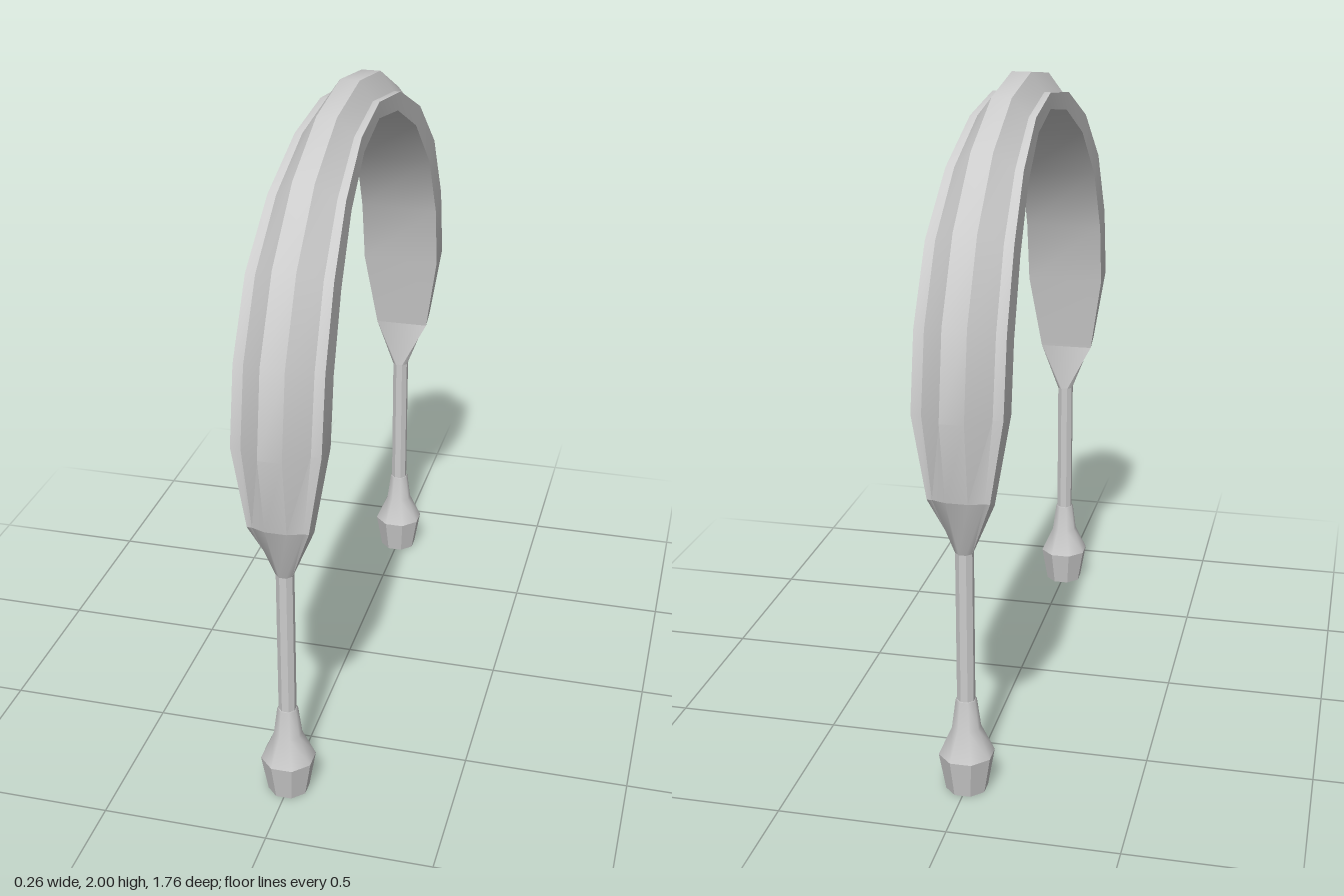
import * as THREE from 'three';
import { toCreasedNormals } from 'three/addons/utils/BufferGeometryUtils.js';

const material = new THREE.MeshStandardMaterial({ color: 0xcccccc });
const flatMaterial = new THREE.MeshStandardMaterial({ color: 0xcccccc, flatShading: true });

// Half sections from crown to band end: half widths (ridge, bevel, rim),
// then z, y of the outer ridge, the bevel line and the inner face
const SECTIONS = [
  [0.030, 0.070, 0.090, 0, 2, 0, 1.94, 0, 1.89],
  [0.030, 0.076, 0.098, 0.265, 1.962, 0.25, 1.905, 0.215, 1.855],
  [0.032, 0.087, 0.112, 0.51, 1.848, 0.48, 1.797, 0.42, 1.75],
  [0.034, 0.096, 0.125, 0.708, 1.665, 0.66, 1.63, 0.585, 1.58],
  [0.035, 0.100, 0.130, 0.834, 1.435, 0.775, 1.41, 0.688, 1.37],
  [0.035, 0.100, 0.130, 0.878, 1.18, 0.82, 1.18, 0.725, 1.165],
  [0.032, 0.075, 0.090, 0.836, 0.935, 0.815, 0.932, 0.758, 0.908],
];
const LEG_Z = 0.752;

// Eight-point ring mirrored across x; side = 1 front, -1 back
function bandRing([w0, w1, w2, zo, yo, zm, ym, zi, yi], side) {
  const half = [[w0, yo, zo], [w1, ym, zm], [w2, ym, zm], [w2, yi, zi]];
  const all = [...half, ...half.map(([x, y, z]) => [-x, y, z]).reverse()];
  return all.map(([x, y, z]) => new THREE.Vector3(x, y, z * side));
}

// Octagon at the top of a leg, in the same point order
function legRing(side) {
  const a = 0.025, b = 0.0104, y = 0.755;
  const half = [[b, a], [a, b], [a, -b], [b, -a]];
  const all = [...half, ...half.map(([x, z]) => [-x, z]).reverse()];
  return all.map(([x, z]) => new THREE.Vector3(x, y, (LEG_Z + z) * side));
}

// Skin a run of rings
function loft(rings, crease) {
  const pos = [];
  for (let j = 0; j < rings.length - 1; j++) {
    const n = rings[j].length;
    for (let i = 0; i < n; i++) {
      const k = (i + 1) % n;
      const [a, b, c, d] = [rings[j][i], rings[j][k], rings[j + 1][k], rings[j + 1][i]];
      for (const v of [a, b, c, a, c, d]) pos.push(v.x, v.y, v.z);
    }
  }
  const g = new THREE.BufferGeometry();
  g.setAttribute('position', new THREE.Float32BufferAttribute(pos, 3));
  return toCreasedNormals(g, crease);
}

function addMesh(parent, name, geometry, mat = material) {
  const mesh = new THREE.Mesh(geometry, mat);
  mesh.name = name;
  parent.add(mesh);
  return mesh;
}

// Octagonal frustum with flat sides facing the axes; sizes are across the flats
function octagon(top, bottom, y0, y1, open) {
  const k = 1 / Math.cos(Math.PI / 8);
  return new THREE.CylinderGeometry(top * k, bottom * k, y1 - y0, 8, 1, open)
    .rotateY(Math.PI / 8).translate(0, (y0 + y1) / 2, 0);
}

export function createModel() {
  const group = new THREE.Group();
  group.name = 'headband';

  // Arched band, front end to back end
  const front = [...SECTIONS].reverse().map(s => bandRing(s, 1));
  const back = SECTIONS.slice(1).map(s => bandRing(s, -1));
  addMesh(group, 'band', loft([...front, ...back], 0.5));

  for (const side of [1, -1]) {
    const label = side > 0 ? 'front' : 'back';

    // Taper from the band into the leg
    const end = [bandRing(SECTIONS[6], side), legRing(side)];
    addMesh(group, label + 'Taper', loft(side > 0 ? end.reverse() : end, 1.2));

    // Leg rod, flared collar and foot
    const leg = new THREE.Group();
    leg.name = label + 'Leg';
    leg.position.z = LEG_Z * side;
    addMesh(leg, 'rod', octagon(0.025, 0.025, 0.28, 0.757, true), flatMaterial);
    const k = 1 / Math.cos(Math.PI / 8);
    const profile = [[0.077, 0.115], [0.04, 0.2], [0.029, 0.29], [0.024, 0.291]]
      .map(([r, y]) => new THREE.Vector2(r * k, y));
    addMesh(leg, 'collar', new THREE.LatheGeometry(profile, 8).rotateY(Math.PI / 8));
    addMesh(leg, 'foot', octagon(0.077, 0.058, 0, 0.115, false), flatMaterial);
    group.add(leg);
  }
  return group;
}
